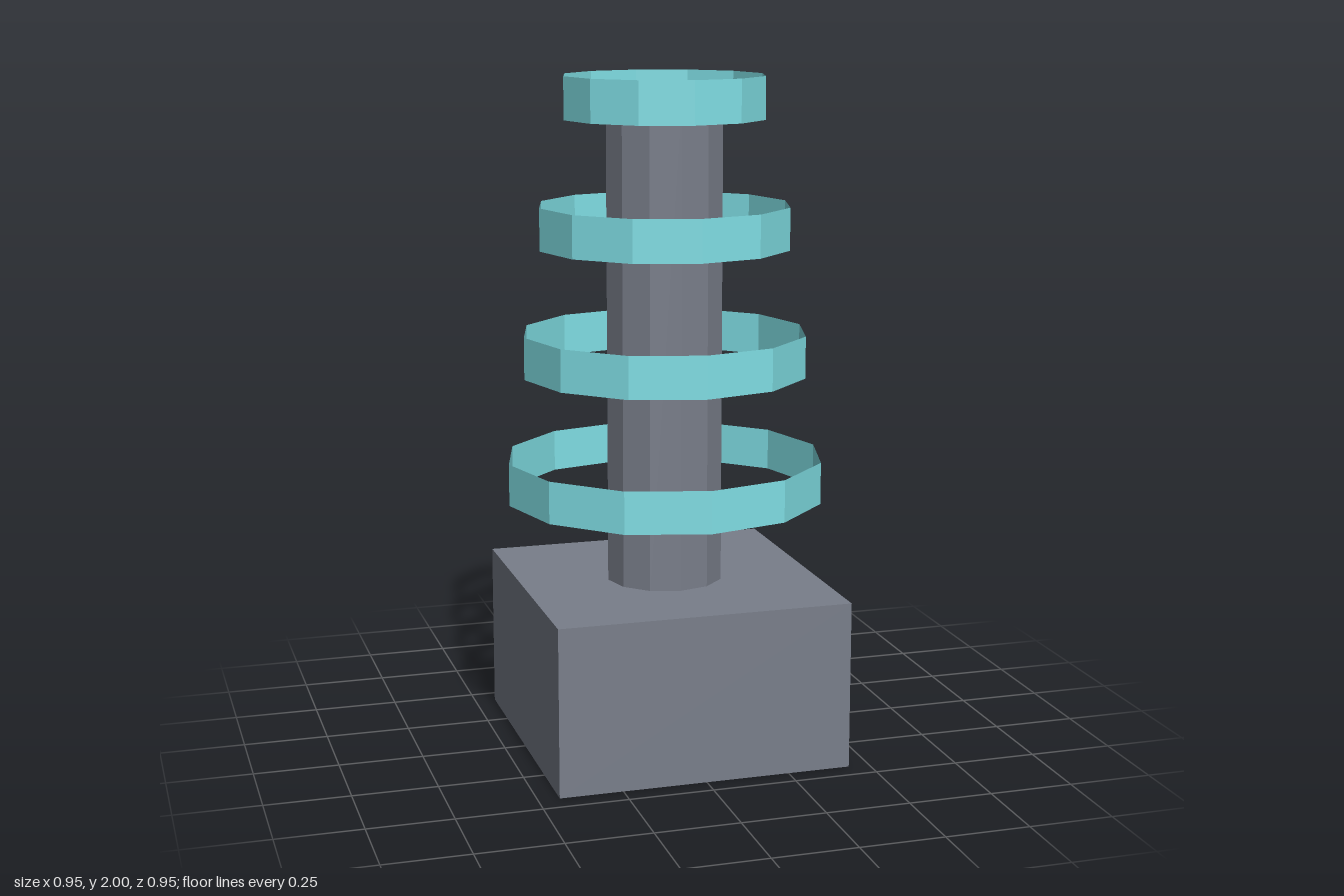
import * as THREE from 'three';

export function createModel() {
  const model = new THREE.Group();
  model.name = 'coilTower';

  const grey = new THREE.MeshStandardMaterial({ name: 'slateGrey', color: 0x797e8a, flatShading: true, side: THREE.DoubleSide });
  const teal = new THREE.MeshStandardMaterial({ name: 'paleTeal', color: 0x80dee4, flatShading: true, side: THREE.DoubleSide });

  const add = (name, geometry, material, y) => {
    const mesh = new THREE.Mesh(geometry, material);
    mesh.name = name;
    mesh.position.y = y;
    model.add(mesh);
  };
  // Open twelve-sided tube
  const tube = (radius, height) => new THREE.CylinderGeometry(radius, radius, height, 12, 1, true);

  // Square plinth
  add('base', new THREE.BoxGeometry(0.875, 0.5, 0.875), grey, 0.25);

  // Hollow column, ending inside the top ring
  const columnHeight = 1.4375;
  add('column', tube(0.175, columnHeight), grey, 0.5 + columnHeight / 2);

  // Floating rings, narrowing upwards
  [0.475, 0.425, 0.375, 0.3].forEach((radius, i) => {
    add(`ring${i + 1}`, tube(radius, 0.125), teal, 0.8125 + i * 0.375);
  });

  return model;
}
